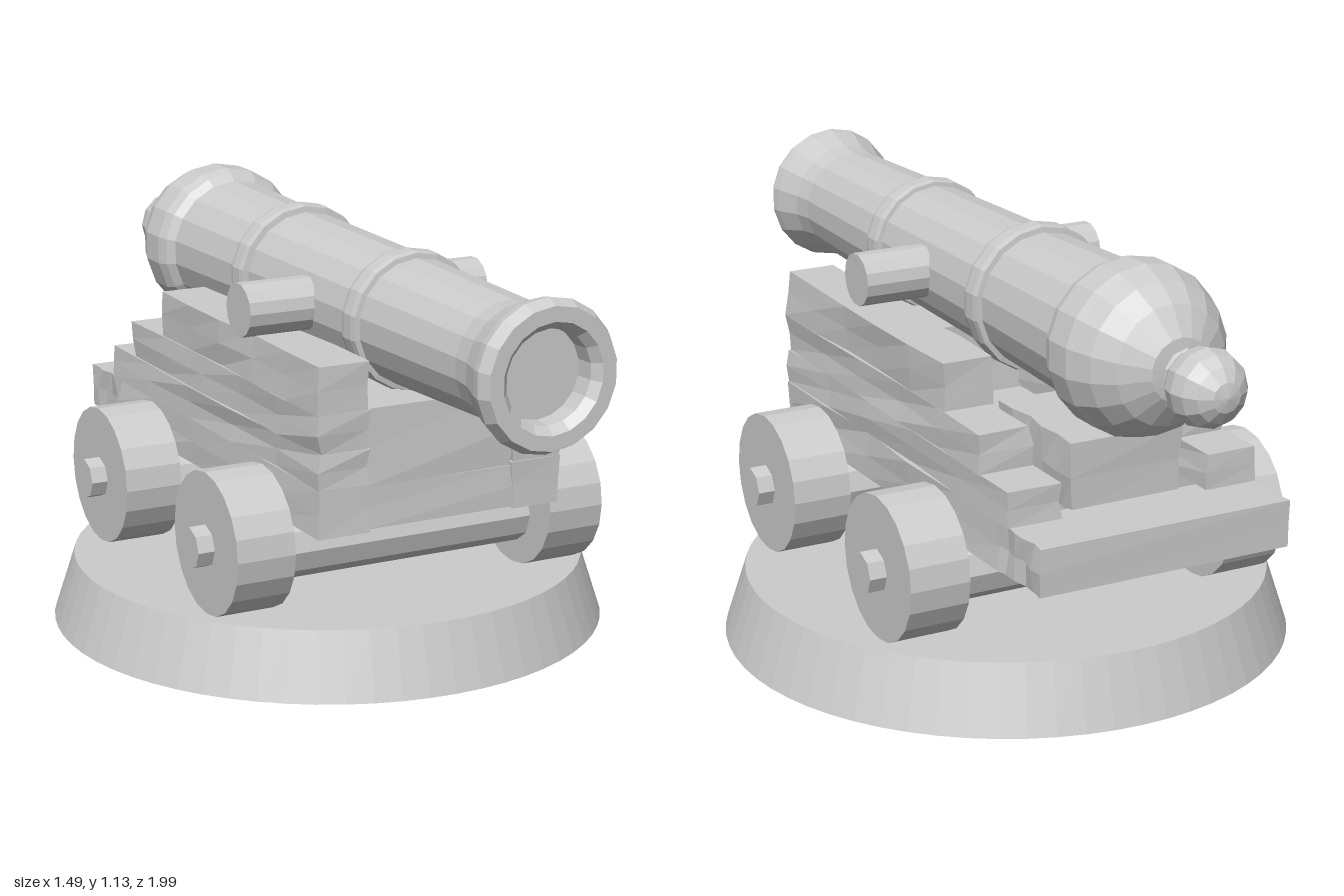
import * as THREE from 'three';

const flat = new THREE.MeshStandardMaterial({ color: 0xcccccc, flatShading: true });

function add(parent, name, geometry, x = 0, y = 0, z = 0) {
  const mesh = new THREE.Mesh(geometry, flat);
  mesh.name = name;
  mesh.position.set(x, y, z);
  parent.add(mesh);
  return mesh;
}

// Cylinder lying along x
function crossCylinder(radius, length, sides) {
  return new THREE.CylinderGeometry(radius, radius, length, sides).rotateZ(Math.PI / 2);
}

// Rough-hewn plank: a box whose side faces are pushed in a little along its length
function plank(x0, x1, y0, y1, z0, z1, seed) {
  const w = x1 - x0, h = y1 - y0, d = z1 - z0;
  const g = new THREE.BoxGeometry(w, h, d, 1, 2, 5);
  const p = g.attributes.position;
  for (let i = 0; i < p.count; i++) {
    const x = p.getX(i), y = p.getY(i), z = p.getZ(i);
    const n = Math.sin(x * 31 + y * 57 + z * 43 + seed * 12.9) * 437.58;
    const dent = (n - Math.floor(n)) * 0.016;
    p.setX(i, x - Math.sign(x) * Math.min(dent, w * 0.1));
    if (Math.abs(z) > d * 0.49) p.setZ(i, z - Math.sign(z) * dent * 0.5);
  }
  g.translate((x0 + x1) / 2, (y0 + y1) / 2, (z0 + z1) / 2);
  return g;
}

function lathe(points, sides) {
  return new THREE.LatheGeometry(points.map(([r, z]) => new THREE.Vector2(r, z)), sides).rotateX(Math.PI / 2);
}

export function createModel() {
  const model = new THREE.Group();
  model.name = 'cannonOnBase';

  // Round display base
  add(model, 'base', new THREE.CylinderGeometry(0.69, 0.747, 0.175, 64), 0, 0.0875, -0.13);

  // Everything above is turned 30 degrees on the base
  const cannon = new THREE.Group();
  cannon.name = 'cannon';
  cannon.position.z = -0.13;
  cannon.rotation.y = Math.PI / 6;
  model.add(cannon);

  // Carriage bed, with an open slot before the rear board
  const carriage = new THREE.Group();
  carriage.name = 'carriage';
  cannon.add(carriage);
  add(carriage, 'bed', plank(-0.22, 0.22, 0.42, 0.53, -0.42, 0.61, 1));
  add(carriage, 'rearBoard', plank(-0.35, 0.35, 0.42, 0.54, -0.81, -0.6, 2));
  add(carriage, 'frontTransom', plank(-0.22, 0.22, 0.53, 0.73, 0.3, 0.61, 3));
  add(carriage, 'elevatingWedge', plank(-0.16, 0.16, 0.53, 0.71, -0.62, -0.25, 4));

  // Stepped cheeks: each higher plank stops further forward
  const steps = [[0.415, 0.54, -0.62], [0.54, 0.63, -0.655], [0.63, 0.73, -0.515], [0.73, 0.853, -0.325]];
  for (const side of [-1, 1]) {
    steps.forEach(([y0, y1, back], i) => {
      const [a, b] = side < 0 ? [-0.352, -0.2] : [0.2, 0.352];
      add(carriage, 'cheekPlank', plank(a, b, y0, y1, back, 0.617, 5 + i + side * 7));
    });
  }

  // Axles, wheels and hub pins
  for (const z of [0.354, -0.325]) {
    add(carriage, 'axle', crossCylinder(0.088, 0.8, 10), 0, 0.325, z);
    for (const side of [-1, 1]) {
      add(carriage, 'wheel', crossCylinder(0.187, 0.16, 20), side * 0.452, 0.36, z);
      add(carriage, 'hubPin', crossCylinder(0.055, 0.08, 8), side * 0.537, 0.355, z);
    }
  }

  // Barrel: one turned profile from the breech dome to the recessed bore
  const barrel = new THREE.Group();
  barrel.name = 'barrel';
  barrel.position.set(-0.032, 0.915, 0);
  cannon.add(barrel);
  add(barrel, 'barrelBody', lathe([
    [0, -0.81], [0.08, -0.8], [0.15, -0.755], [0.19, -0.7], [0.208, -0.65],
    [0.216, -0.63], [0.216, -0.55], [0.205, -0.52], [0.186, -0.5],
    [0.174, -0.1], [0.163, 0.5], [0.15, 0.98],
    [0.157, 1.04], [0.182, 1.115], [0.187, 1.14], [0.172, 1.172],
    [0.135, 1.172], [0.115, 1.15], [0.113, 1.1], [0, 1.1],
  ], 18));

  // Reinforcing rings
  for (const [z, r] of [[-0.1, 0.193], [0.5, 0.179]]) {
    add(barrel, 'barrelRing', lathe([
      [r - 0.03, -0.038], [r - 0.004, -0.034], [r, -0.018], [r, 0.018], [r - 0.004, 0.034], [r - 0.03, 0.038],
    ], 18), 0, 0, z);
  }

  // Trunnions
  for (const side of [-1, 1]) {
    add(barrel, 'trunnion', crossCylinder(0.07, 0.24, 14), side * 0.225, 0.005, 0.235);
  }

  // Breech neck and knob
  add(barrel, 'knobNeck', lathe([[0.06, -0.82], [0.042, -0.78]].reverse().map(([r, z]) => [r, -z - 1.64]), 10));
  add(barrel, 'knobStem', new THREE.CylinderGeometry(0.045, 0.05, 0.12, 10).rotateX(Math.PI / 2), 0, -0.008, -0.82);
  add(barrel, 'knob', new THREE.SphereGeometry(0.097, 12, 8).rotateX(Math.PI / 2), 0, -0.01, -0.907);

  return model;
}
